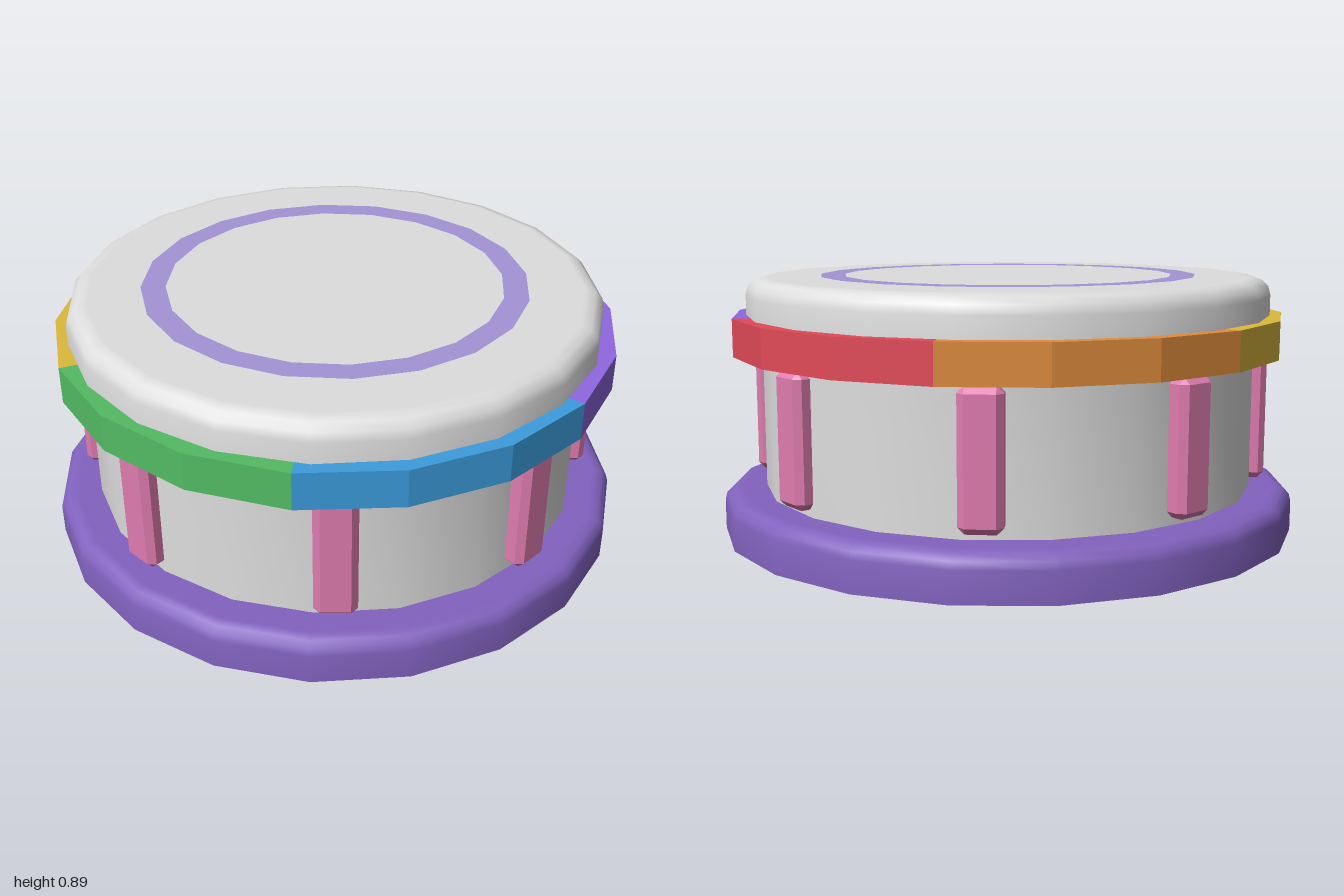
import * as THREE from 'three';
import { toCreasedNormals } from 'three/addons/utils/BufferGeometryUtils.js';
import { ConvexGeometry } from 'three/addons/geometries/ConvexGeometry.js';

const SIDES = 20;
const APOTHEM = Math.cos(Math.PI / SIDES);

function material(name, color) {
  const m = new THREE.MeshStandardMaterial({ color });
  m.name = name;
  return m;
}

function mesh(name, geometry, mat) {
  const m = new THREE.Mesh(geometry, mat);
  m.name = name;
  return m;
}

// 20-sided disc between two heights with an optionally rounded top edge;
// radius is measured to the middle of a side
function disc(radius, y0, y1, round) {
  const p = [[0, y0], [radius, y0]];
  if (round > 0) {
    for (let i = 0; i <= 3; i++) {
      const a = (i / 3) * Math.PI / 2;
      p.push([radius - round + round * Math.cos(a), y1 - round + round * Math.sin(a)]);
    }
    p.push([radius - round - 0.01, y1]);
  } else {
    p.push([radius, y1]);
  }
  p.push([0, y1]);
  const points = p.map(([r, y]) => new THREE.Vector2(r / APOTHEM, y));
  const geometry = new THREE.LatheGeometry(points, SIDES, Math.PI / SIDES);
  return toCreasedNormals(geometry, THREE.MathUtils.degToRad(35));
}

// Box with every edge chamfered by c
function chamferedBox(w, h, d, c) {
  const points = [];
  for (const x of [-w / 2, w / 2]) for (const y of [-h / 2, h / 2]) for (const z of [-d / 2, d / 2]) {
    const ix = x - Math.sign(x) * c, iy = y - Math.sign(y) * c, iz = z - Math.sign(z) * c;
    points.push(
      new THREE.Vector3(x, iy, iz),
      new THREE.Vector3(ix, y, iz),
      new THREE.Vector3(ix, iy, z)
    );
  }
  return new ConvexGeometry(points);
}

// One sixth of the band, made of three flat facets
function bandSegment(start, inner, outer, height) {
  const arc = (r) => [0, 1, 2, 3].map((i) => {
    const a = start + i * Math.PI / 9;
    return new THREE.Vector2(r * Math.cos(a), r * Math.sin(a));
  });
  const shape = new THREE.Shape([...arc(outer), ...arc(inner).reverse()]);
  const geometry = new THREE.ExtrudeGeometry(shape, { depth: height, bevelEnabled: false });
  return geometry.rotateX(Math.PI / 2);
}

export function createModel() {
  const model = new THREE.Group();
  model.name = 'roundDrum';

  const purple = material('basePurple', 0x8262bf);
  const grey = material('lightGrey', 0xdedede);
  const pink = material('pegPink', 0xe07cb0);
  const lilac = material('ringLilac', 0xa593d6);
  const bandColours = [
    material('bandViolet', 0x9066e2),
    material('bandBlue', 0x3c9cdc),
    material('bandGreen', 0x52bb63),
    material('bandYellow', 0xdcb93c),
    material('bandOrange', 0xe08c3c),
    material('bandRed', 0xe14a58),
  ];

  // Stacked discs
  model.add(mesh('base', disc(1, 0, 0.155, 0.05), purple));
  model.add(mesh('body', disc(0.855, 0.15, 0.7, 0), grey));
  model.add(mesh('lid', disc(0.908, 0.7, 0.89, 0.06), grey));

  // Thin ring on the lid
  const ring = mesh('lidRing', new THREE.RingGeometry(0.58, 0.665, SIDES).rotateX(-Math.PI / 2), lilac);
  ring.position.y = 0.893;
  model.add(ring);

  // Six-coloured band
  const band = new THREE.Group();
  band.name = 'colourBand';
  bandColours.forEach((mat, i) => {
    band.add(mesh('bandSegment' + (i + 1), bandSegment(i * Math.PI / 3, 0.8, 0.97, 0.13), mat));
  });
  band.position.y = 0.76;
  model.add(band);

  // Eight pegs around the body
  const pegGeometry = chamferedBox(0.14, 0.445, 0.12, 0.022);
  const pegs = new THREE.Group();
  pegs.name = 'pegs';
  for (let i = 0; i < 8; i++) {
    const a = (i + 0.5) * Math.PI / 4;
    const peg = mesh('peg' + (i + 1), pegGeometry, pink);
    peg.position.set(0.855 * Math.sin(a), 0.402, 0.855 * Math.cos(a));
    peg.rotation.y = a;
    pegs.add(peg);
  }
  model.add(pegs);

  return model;
}
